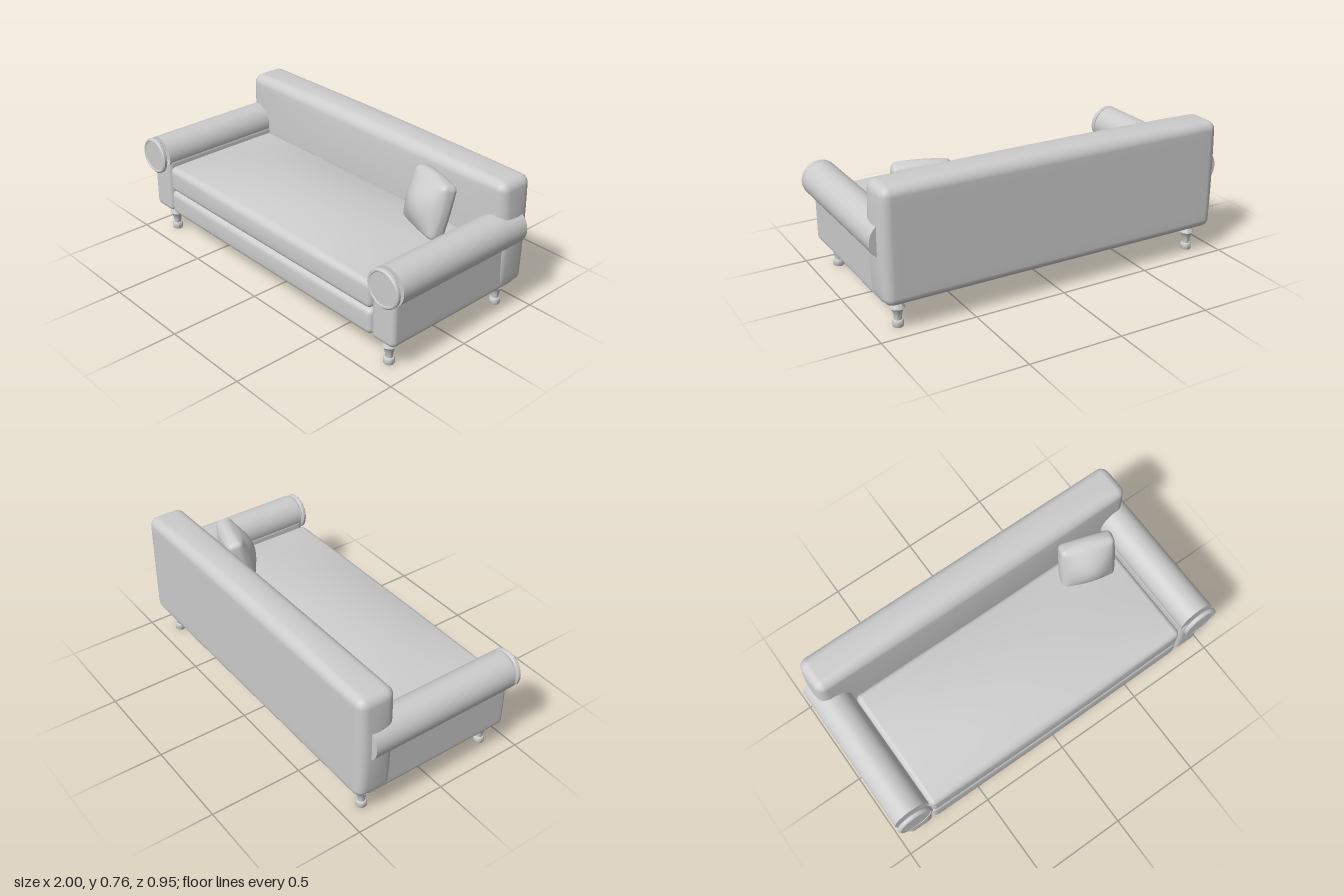
import * as THREE from 'three';
import { mergeVertices, toCreasedNormals } from 'three/addons/utils/BufferGeometryUtils.js';

const upholstery = new THREE.MeshStandardMaterial({ color: 0xcccccc });
upholstery.name = 'upholstery grey';

// Rounded box whose sides swell outward; puff = { left, right, top, bottom, front, back }
function cushionGeometry(w, h, d, r, puff = {}) {
  const half = [w / 2, h / 2, d / 2];
  const swell = [['left', 'right'], ['top', 'bottom'], ['front', 'back']];
  const geo = new THREE.BoxGeometry(2, 2, 2, 20, 20, 20);
  const pos = geo.attributes.position;
  for (let i = 0; i < pos.count; i++) {
    const t = [pos.getX(i), pos.getY(i), pos.getZ(i)];
    // spend the outer 30% of the grid on the rounded edge
    const p = t.map((v, k) => {
      const a = Math.abs(v), inner = half[k] - r;
      const s = a <= 0.7 ? (inner * a) / 0.7 : inner + r * Math.tan(((a - 0.7) / 0.3) * Math.PI / 4);
      return Math.sign(v) * s;
    });
    const core = p.map((v, k) => THREE.MathUtils.clamp(v, r - half[k], half[k] - r));
    const n = new THREE.Vector3(...p.map((v, k) => v - core[k])).normalize();
    const q = core.map((v, k) => v + n.getComponent(k) * r);
    const fall = q.map((v, k) => 1 - (v / half[k]) ** 2);
    const out = q.map((v, k) => {
      const amount = puff[swell[k][v > 0 ? 0 : 1]] || 0;
      return v + amount * (v / half[k]) * fall[(k + 1) % 3] * fall[(k + 2) % 3];
    });
    pos.setXYZ(i, ...out);
  }
  geo.deleteAttribute('normal');
  geo.deleteAttribute('uv');
  const welded = mergeVertices(geo, 1e-5);
  welded.computeVertexNormals();
  return welded;
}

function lathe(points, segments, crease) {
  const geo = new THREE.LatheGeometry(points.map(([x, y]) => new THREE.Vector2(x, y)), segments);
  return toCreasedNormals(geo, crease);
}

export function createModel() {
  const sofa = new THREE.Group();
  sofa.name = 'sofa';

  function add(name, geometry, x, y, z) {
    const mesh = new THREE.Mesh(geometry, upholstery);
    mesh.name = name;
    mesh.position.set(x, y, z);
    sofa.add(mesh);
    return mesh;
  }

  // Backrest, gently arched along the top
  add('backrest', cushionGeometry(1.9, 0.597, 0.205, 0.045,
    { left: 0.016, right: 0.016, top: 0.02, front: 0.02 }), 0, 0.4435, -0.3735);

  // Seat base and crowned seat cushion
  add('seatBase', cushionGeometry(1.6, 0.142, 0.8, 0.03, { front: 0.006 }), 0, 0.216, 0.045);
  add('seatCushion', cushionGeometry(1.59, 0.145, 0.71, 0.03,
    { top: 0.05, front: 0.008 }), 0, 0.3615, 0.092);

  // Arms: upright panel, long roll and a separate round facing
  const panel = cushionGeometry(0.15, 0.32, 0.87, 0.03);
  const roll = new THREE.CylinderGeometry(0.1, 0.1, 0.85, 48);
  roll.rotateX(Math.PI / 2);
  const facing = lathe([[0, 0], [0.093, 0], [0.1, 0.006], [0.1, 0.019], [0.093, 0.025],
    [0.086, 0.025], [0.083, 0.022], [0, 0.022]], 48, 0.5);
  facing.rotateX(Math.PI / 2);

  // Turned legs
  const leg = lathe([[0, 0], [0.026, 0], [0.028, 0.004], [0.028, 0.028], [0.025, 0.034], [0.019, 0.037],
    [0.021, 0.06], [0.028, 0.088], [0.038, 0.1], [0.036, 0.106], [0.026, 0.125],
    [0.03, 0.138], [0.03, 0.16], [0, 0.16]], 24, 0.6);

  for (const [side, s] of [['left', 1], ['right', -1]]) {
    add(side + 'ArmPanel', panel, s * 0.875, 0.305, 0.01);
    add(side + 'ArmRoll', roll, s * 0.9, 0.47, 0.01);
    add(side + 'ArmFacing', facing, s * 0.9, 0.47, 0.45);
    add(side + 'FrontLeg', leg, s * 0.862, 0, 0.375);
    add(side + 'BackLeg', leg, s * 0.862, 0, -0.385);
  }

  // Loose pillow leaning in the left corner
  const pillow = add('pillow', cushionGeometry(0.29, 0.29, 0.085, 0.025,
    { left: 0.008, right: 0.008, top: 0.015, front: 0.065, back: 0.03 }), 0.602, 0.568, -0.14);
  pillow.rotation.set(-0.25, -0.31, 0, 'YXZ');

  return sofa;
}
